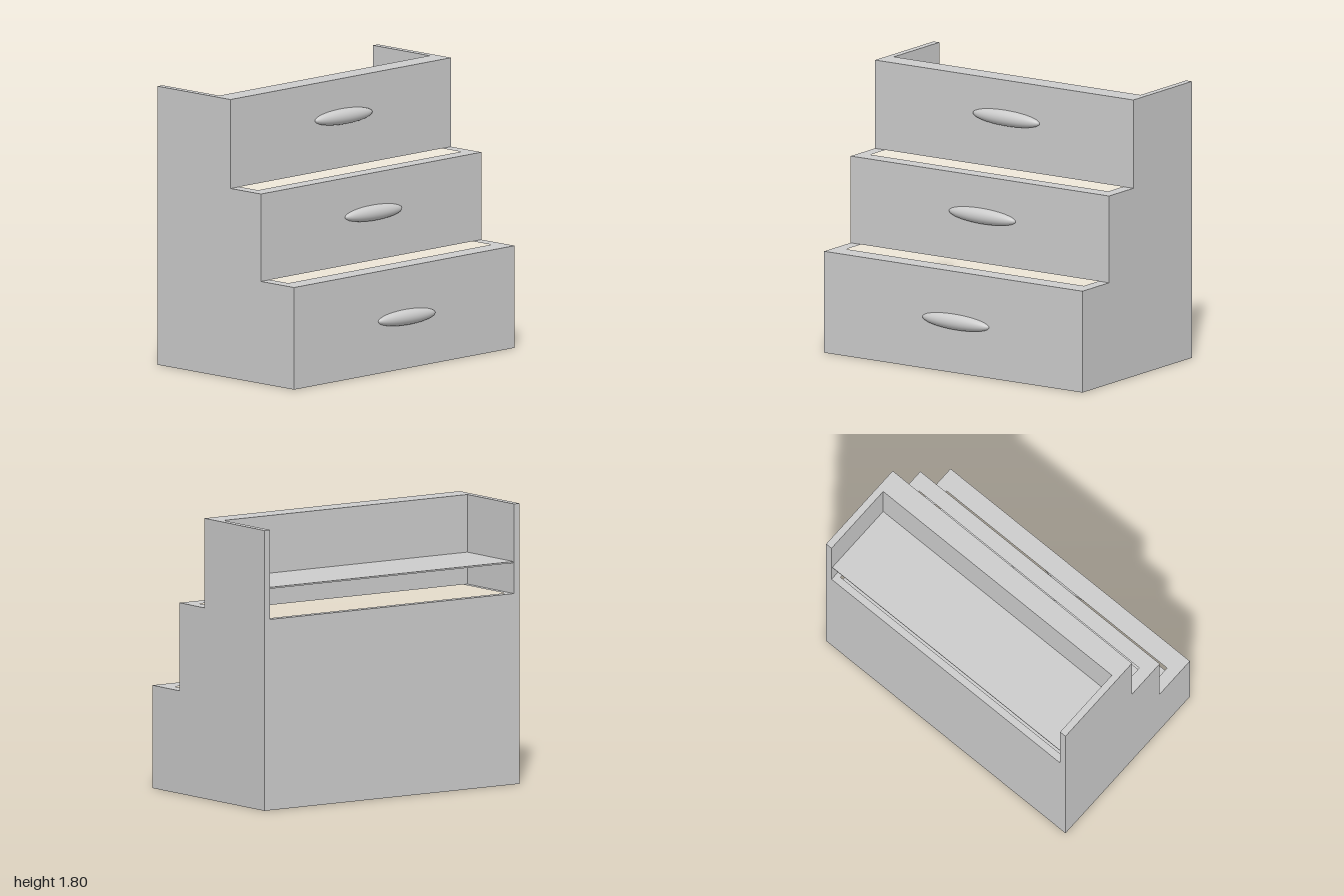
import * as THREE from 'three';

const BACK = -0.635;
const material = new THREE.MeshStandardMaterial({ color: 0xcccccc });

function addMesh(parent, name, geometry) {
  const mesh = new THREE.Mesh(geometry, material);
  mesh.name = name;
  parent.add(mesh);
  return mesh;
}

function addBox(parent, name, x0, x1, y0, y1, z0, z1) {
  const mesh = addMesh(parent, name, new THREE.BoxGeometry(x1 - x0, y1 - y0, z1 - z0));
  mesh.position.set((x0 + x1) / 2, (y0 + y1) / 2, (z0 + z1) / 2);
}

// Plan outlines use (x, -z), so the extrusion can be turned to stand upright
function addPlan(parent, name, points, hole, y0, y1) {
  const toPlan = ([x, z]) => new THREE.Vector2(x, -z);
  const shape = new THREE.Shape(points.map(toPlan));
  if (hole) shape.holes.push(new THREE.Path(hole.map(toPlan)));
  const geometry = new THREE.ExtrudeGeometry(shape, { depth: y1 - y0, bevelEnabled: false });
  geometry.rotateX(-Math.PI / 2);
  geometry.translate(0, y0, 0);
  addMesh(parent, name, geometry);
}

const rect = (w, z0, z1) => [[-w, z0], [w, z0], [w, z1], [-w, z1]];

// Long ellipsoid pull, half sunk into the drawer front
function addHandle(parent, y, z) {
  const handle = addMesh(parent, 'handle', new THREE.SphereGeometry(1, 40, 24));
  handle.scale.set(0.257, 0.05, 0.05);
  handle.rotation.z = -0.015;
  handle.position.set(0.02, y, z);
}

export function createModel() {
  const model = new THREE.Group();
  model.name = 'steppedDrawers';

  // Lower two drawers: closed walls around a cavity, over a solid base
  const tiers = [
    { name: 'bottomDrawer', y0: 0, y1: 0.66, front: 0.58, floor: 0.12, cavity: [-0.22, 0.45], handleY: 0.332 },
    { name: 'middleDrawer', y0: 0.66, y1: 1.225, front: 0.285, floor: 0.8, cavity: [-0.588, 0.18], handleY: 0.967 },
  ];
  for (const t of tiers) {
    const drawer = new THREE.Group();
    drawer.name = t.name;
    addBox(drawer, 'base', -1, 1, t.y0, t.floor, BACK, t.front);
    addPlan(drawer, 'walls', rect(1, BACK, t.front), rect(0.92, ...t.cavity), t.floor, t.y1);
    addHandle(drawer, t.handleY, t.front);
    model.add(drawer);
  }

  // Top drawer: open at the back, with a thin raised floor
  const top = new THREE.Group();
  top.name = 'topDrawer';
  const inner = 0.955;
  addPlan(top, 'walls', [
    [-1, BACK], [-inner, BACK], [-inner, -0.13], [inner, -0.13],
    [inner, BACK], [1, BACK], [1, 0.015], [-1, 0.015],
  ], null, 1.225, 1.8);
  addBox(top, 'floor', -inner, inner, 1.42, 1.43, -0.627, -0.13);
  addHandle(top, 1.555, 0.02);
  model.add(top);

  return model;
}
